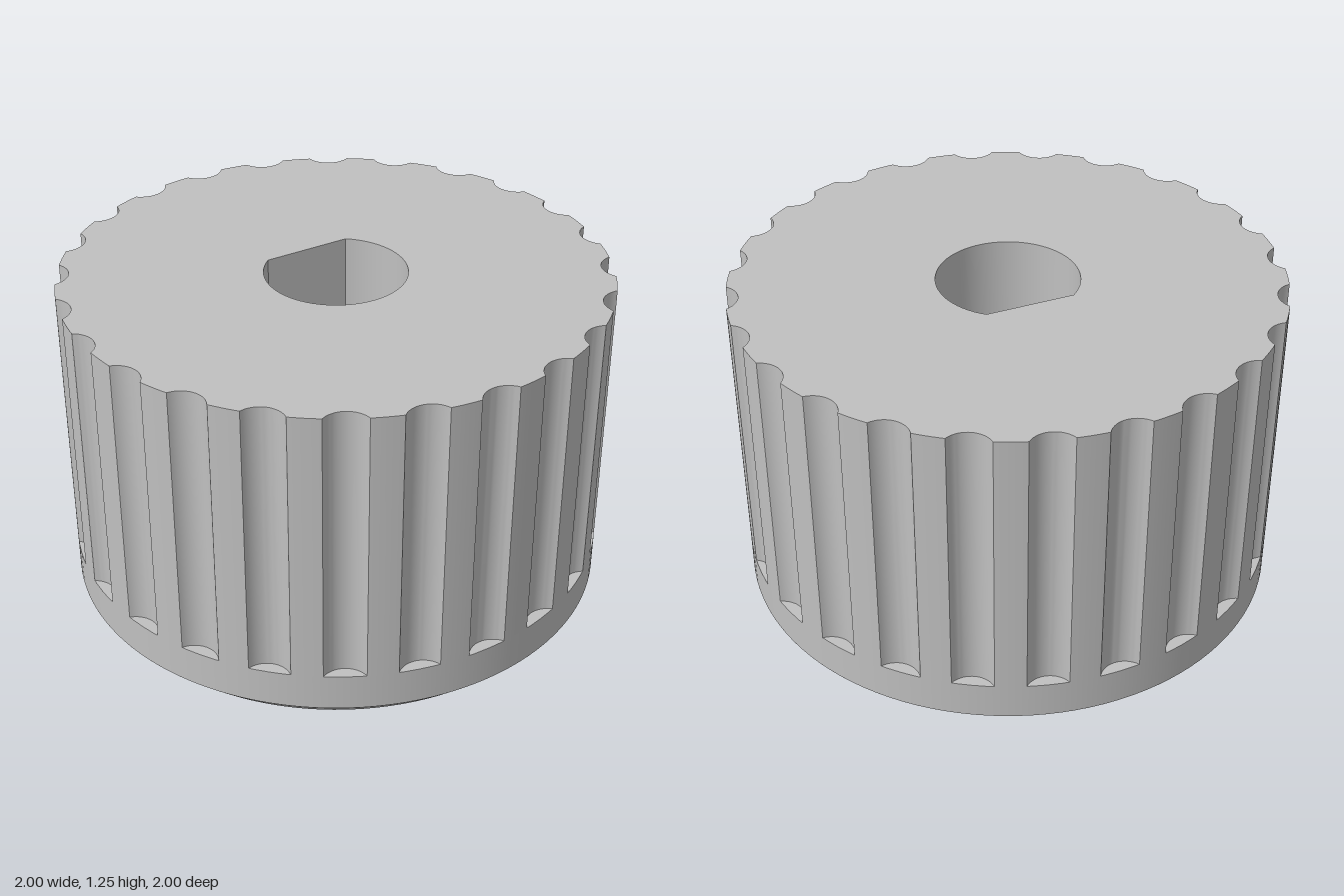
import * as THREE from 'three';
import { toCreasedNormals } from 'three/addons/utils/BufferGeometryUtils.js';

const RADIUS = 1, CHAMFER = 0.07, BAND_TOP = 0.21, HEIGHT = 1.25;
const FLUTES = 24, SLOT_HALF = 0.06, SLOT_INNER = 0.29;

// Points along a circle arc, both ends included
function arcPoints(radius, start, end, steps) {
  return Array.from({ length: steps + 1 }, (_, i) => {
    const a = start + (end - start) * i / steps;
    return new THREE.Vector2(radius * Math.cos(a), radius * Math.sin(a));
  });
}

// Extrude a plan shape upwards; shape y becomes -z
function extrudeUp(shape, depth, curveSegments = 8) {
  const g = new THREE.ExtrudeGeometry(shape, { depth, curveSegments, bevelEnabled: false });
  return g.rotateX(-Math.PI / 2);
}

// Gripping body: scalloped rim with a D-shaped shaft hole
function flutedBody() {
  const half = 0.075, r = 0.088;
  const rim = Math.asin(half / RADIUS), phi = Math.asin(half / r);
  const centre = Math.cos(rim) + r * Math.cos(phi);
  const step = Math.PI * 2 / FLUTES;
  const shape = new THREE.Shape();
  for (let i = 0; i < FLUTES; i++) {
    const t = i * step;
    shape.absarc(centre * Math.cos(t), centre * Math.sin(t), r, t + Math.PI + phi, t + Math.PI - phi, true);
    shape.absarc(0, 0, RADIUS, t + rim, t + step - rim, false);
  }
  const flat = Math.asin(0.2 / 0.26);
  const hole = arcPoints(0.26, Math.PI - flat, Math.PI * 2 + flat, 56);
  shape.holes.push(new THREE.Path(hole));
  return toCreasedNormals(extrudeUp(shape, HEIGHT - BAND_TOP, 10), 0.4);
}

// Chamfered face with a pointer slot running out through the back rim
function slottedFace() {
  const gap = Math.asin(SLOT_HALF / RADIUS);
  const outline = arcPoints(RADIUS, Math.PI / 2 + gap, Math.PI * 2.5 - gap, 120);
  outline.push(new THREE.Vector2(SLOT_HALF, SLOT_INNER), new THREE.Vector2(-SLOT_HALF, SLOT_INNER));
  const g = extrudeUp(new THREE.Shape(outline), CHAMFER);
  const p = g.attributes.position, small = RADIUS - CHAMFER;
  for (let i = 0; i < p.count; i++) {
    const x = p.getX(i), z = p.getZ(i);
    if (p.getY(i) > 0.001 || Math.hypot(x, z) < 0.99) continue;
    // draw the lower rim inwards, keeping the slot walls parallel
    if (z < 0 && Math.abs(x) < SLOT_HALF + 0.001) p.setZ(i, -Math.sqrt(small * small - x * x));
    else p.setXYZ(i, x * small, 0, z * small);
  }
  return toCreasedNormals(g, 0.4);
}

export function createModel() {
  const grey = new THREE.MeshStandardMaterial({ color: 0xc0c0c0 });
  grey.name = 'plain grey';
  const model = new THREE.Group();
  model.name = 'controlKnob';

  const add = (name, geometry, y) => {
    const mesh = new THREE.Mesh(geometry, grey);
    mesh.name = name;
    mesh.position.y = y;
    model.add(mesh);
  };

  add('slottedFace', slottedFace(), 0);
  // Plain band: its caps close the slot below and the shaft hole above
  const bandHeight = BAND_TOP - CHAMFER;
  add('plainBand', new THREE.CylinderGeometry(RADIUS, RADIUS, bandHeight, 120), CHAMFER + bandHeight / 2);
  add('flutedBody', flutedBody(), BAND_TOP);
  return model;
}
